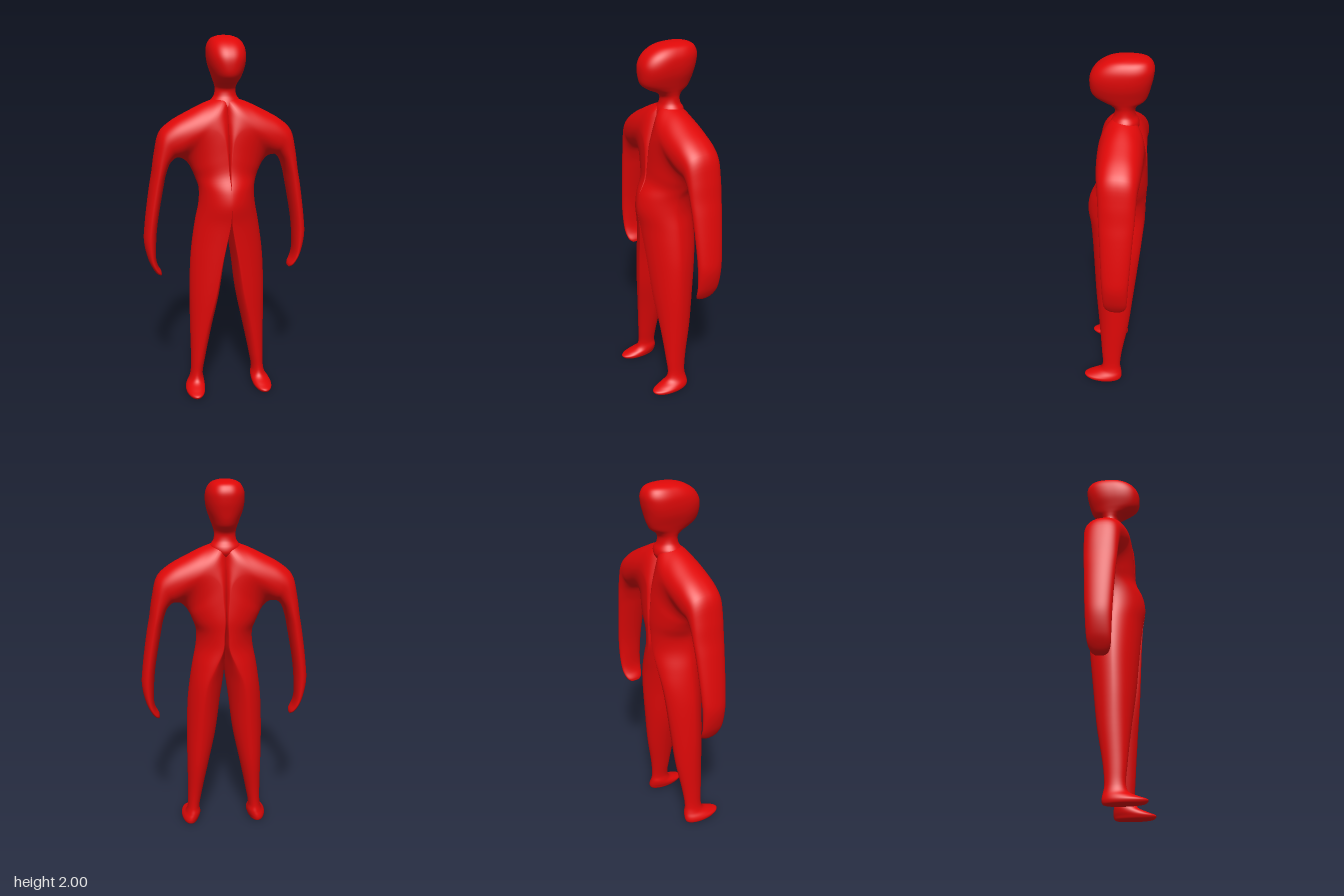
import * as THREE from 'three';

const RING = 96;   // points around a section
const STEPS = 5;   // rings between two sections

// Point on a section spanning from p to q in the xy plane and from back to
// front in z; n is the roundness, cf and cb the places of the front and back
// ridges along p-q.
function sectionPoint([px, py, qx, qy, front, back, n = 2, cf = 0.5, cb = cf], j) {
  const t = (j / RING) * Math.PI * 2;
  const round = (v) => (Math.abs(v) < 1e-9 ? 0 : Math.sign(v) * Math.pow(Math.abs(v), 2 / n));
  const r = round(Math.cos(t));
  const c = Math.sin(t) > 0 ? cf : cb;
  const f = c + r * (r > 0 ? 1 - c : c);
  return new THREE.Vector3(
    px + (qx - px) * f, py + (qy - py) * f,
    (front + back) / 2 + ((front - back) / 2) * round(Math.sin(t))
  );
}

// Smooth closed skin through a list of sections
function loft(sections) {
  const rows = (sections.length - 1) * STEPS + 1;
  const pos = new Float32Array((rows * RING + 2) * 3);
  const put = (i, p) => pos.set([p.x, p.y, p.z], i * 3);
  for (let j = 0; j < RING; j++) {
    const curve = new THREE.CatmullRomCurve3(sections.map((s) => sectionPoint(s, j)), false, 'centripetal');
    for (let i = 0; i < rows; i++) put(i * RING + j, curve.getPoint(i / (rows - 1)));
  }
  const low = rows * RING, high = low + 1, top = (rows - 1) * RING;
  const centre = ([px, py, qx, qy, f, b]) => new THREE.Vector3((px + qx) / 2, (py + qy) / 2, (f + b) / 2);
  put(low, centre(sections[0]));
  put(high, centre(sections[sections.length - 1]));
  const index = [];
  for (let j = 0; j < RING; j++) {
    const k = (j + 1) % RING;
    for (let i = 0; i < rows - 1; i++) {
      const a = i * RING + j, b = i * RING + k;
      index.push(a, a + RING, b, b, a + RING, b + RING);
    }
    index.push(low, j, k, high, top + k, top + j);
  }
  const g = new THREE.BufferGeometry();
  g.setAttribute('position', new THREE.BufferAttribute(pos, 3));
  g.setIndex(index);
  g.computeVertexNormals();
  return g;
}

// Foot and leg: y, inner x, outer x, front z, back z, n, cf, cb
const LEG = [
  [0.000, 0.168, 0.230, 0.140, -0.025],
  [0.006, 0.152, 0.245, 0.168, -0.040],
  [0.022, 0.144, 0.250, 0.179, -0.046],
  [0.040, 0.140, 0.243, 0.140, -0.046],
  [0.065, 0.141, 0.226, 0.085, -0.042],
  [0.10, 0.146, 0.216, 0.070, -0.036],
  [0.20, 0.130, 0.212, 0.075, -0.045, 2, 0.45, 0.5],
  [0.40, 0.090, 0.213, 0.092, -0.080, 1.9, 0.32, 0.5],
  [0.60, 0.049, 0.213, 0.113, -0.103, 1.8, 0.2, 0.53],
  [0.80, 0.024, 0.205, 0.127, -0.125, 1.7, 0.12, 0.53],
].map(([y, x0, x1, ...rest]) => [x0, y, x1, y, ...rest]);

// Half trunk, fanning about the armpit from waist to shoulder:
// midline or shoulder point, flank or armpit point, front z, back z, n, cf, cb
const TRUNK = [
  [0.007, 0.92, 0.191, 0.92, 0.136, -0.138, 1.7, 0.08, 0.5],
  [-0.003, 1.02, 0.175, 1.02, 0.146, -0.147, 1.7, 0.04, 0.35],
  [-0.006, 1.12, 0.156, 1.12, 0.160, -0.151, 1.7, 0.04, 0.15],
  [-0.006, 1.20, 0.154, 1.20, 0.148, -0.154, 1.75, 0.04, 0.12],
  [-0.012, 1.29, 0.170, 1.255, 0.112, -0.159, 1.9, 0.10, 0.12],
  [-0.018, 1.40, 0.186, 1.295, 0.103, -0.156, 2, 0.16, 0.18],
  [-0.022, 1.52, 0.202, 1.325, 0.099, -0.151, 1.95, 0.24],
  [-0.022, 1.62, 0.217, 1.343, 0.094, -0.148, 1.9, 0.38],
  [-0.005, 1.685, 0.230, 1.354, 0.090, -0.147, 1.9, 0.48],
  [0.09, 1.664, 0.240, 1.360, 0.088, -0.147, 1.9, 0.5],
  [0.20, 1.613, 0.250, 1.364, 0.083, -0.145, 2.1, 0.5],
  [0.30, 1.557, 0.261, 1.366, 0.075, -0.141, 2.3, 0.5],
  [0.358, 1.502, 0.276, 1.364, 0.067, -0.135, 2.3, 0.5],
];

// Arm, from the shoulder down to the curled hand: outer point, inner point
const ARM = [
  [0.388, 1.390, 0.304, 1.338, 0.060, -0.130, 2.2],
  [0.405, 1.285, 0.328, 1.275, 0.055, -0.126],
  [0.421, 1.20, 0.344, 1.20, 0.050, -0.120],
  [0.450, 1.00, 0.380, 1.00, 0.040, -0.108],
  [0.457, 0.90, 0.390, 0.90, 0.036, -0.102],
  [0.438, 0.80, 0.393, 0.80, 0.031, -0.096],
  [0.417, 0.750, 0.384, 0.757, 0.027, -0.090],
  [0.394, 0.714, 0.366, 0.722, 0.015, -0.075],
  [0.374, 0.700, 0.364, 0.706, -0.005, -0.055],
];

// Neck and head: y, half width, front z, back z, roundness
const HEAD = [
  [1.59, 0.030, 0.010, -0.080],
  [1.63, 0.075, 0.038, -0.110],
  [1.66, 0.080, 0.031, -0.108],
  [1.69, 0.061, 0.016, -0.092],
  [1.725, 0.056, 0.015, -0.090],
  [1.748, 0.060, 0.040, -0.106],
  [1.770, 0.067, 0.088, -0.136, 2.1],
  [1.80, 0.078, 0.126, -0.152, 2.2],
  [1.85, 0.094, 0.137, -0.166, 2.4],
  [1.90, 0.100, 0.133, -0.177, 2.5],
  [1.945, 0.095, 0.106, -0.179, 2.5],
  [1.98, 0.074, 0.055, -0.160, 2.5],
  [1.997, 0.036, -0.010, -0.115, 2.2],
  [2.00, 0.010, -0.045, -0.075],
].map(([y, w, ...rest]) => [-w, y, w, y, ...rest]);

export function createModel() {
  const model = new THREE.Group();
  model.name = 'figure';
  const red = new THREE.MeshStandardMaterial({ color: 0xe00808 });
  const add = (name, geometry) => {
    const mesh = new THREE.Mesh(geometry, red);
    mesh.name = name;
    model.add(mesh);
  };

  // One continuous skin per side: leg, half trunk and arm. Swapping the two
  // ends of each section keeps the faces outward on the mirrored side.
  const side = [...LEG, ...TRUNK, ...ARM];
  const mirrored = side.map(([px, py, qx, qy, front, back, n = 2, cf = 0.5, cb = cf]) =>
    [-qx, qy, -px, py, front, back, n, 1 - cf, 1 - cb]);
  add('leftBodyHalf', loft(side));
  add('rightBodyHalf', loft(mirrored));
  add('headAndNeck', loft(HEAD));
  return model;
}
